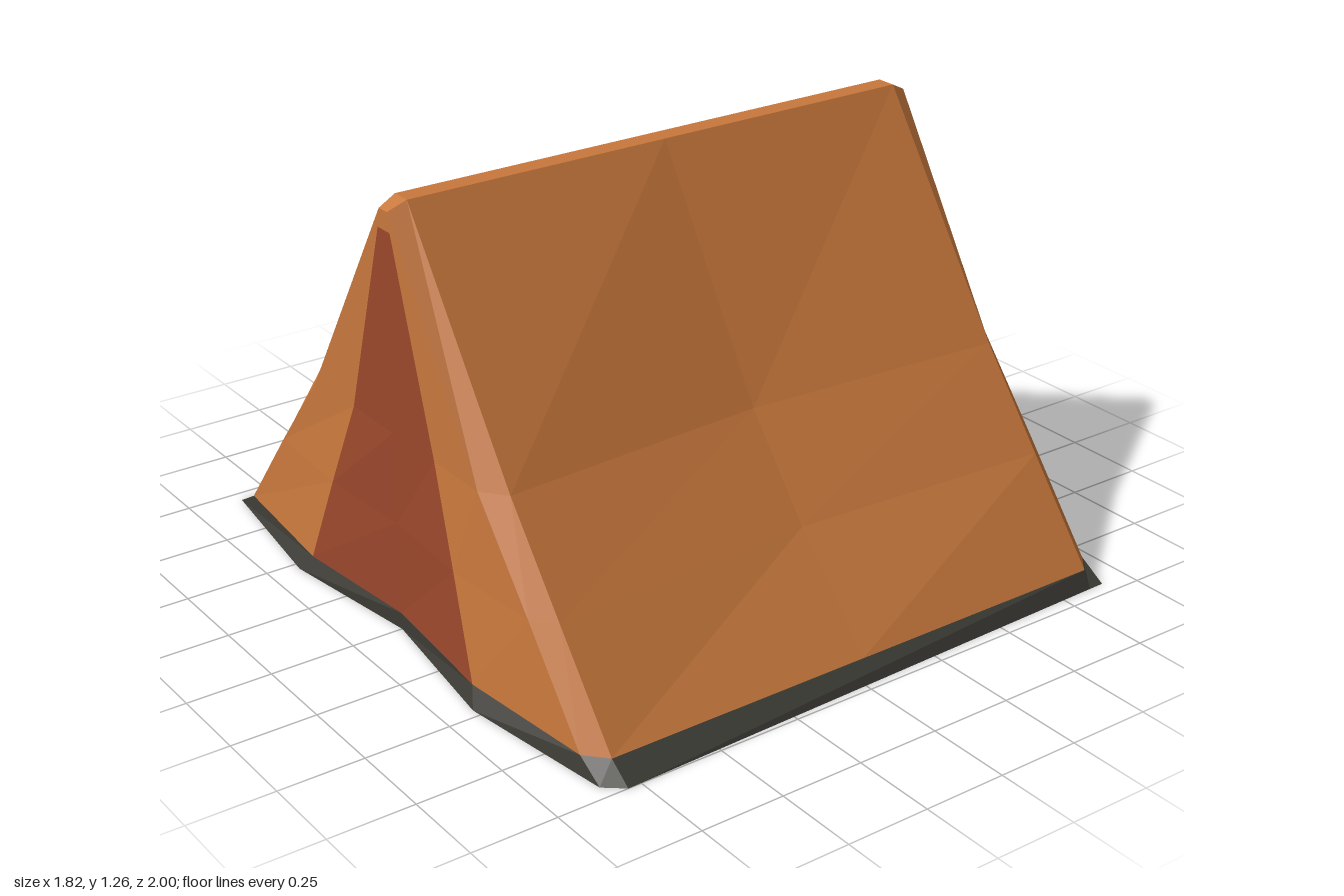
import * as THREE from 'three';

const ORANGE = 0xc8783c, RED = 0x9c482c, DARK = 0x3c3b35;

// Loft a sheet through rows of points (bottom row first, left to right seen from outside)
function sheet(name, color, rows) {
  const pos = [];
  for (let r = 0; r < rows.length - 1; r++) {
    for (let c = 0; c < rows[r].length - 1; c++) {
      const [p, q, s, t] = [rows[r][c], rows[r][c + 1], rows[r + 1][c + 1], rows[r + 1][c]];
      pos.push(...p, ...q, ...s, ...p, ...s, ...t);
    }
  }
  const geo = new THREE.BufferGeometry();
  geo.setAttribute('position', new THREE.Float32BufferAttribute(pos, 3));
  geo.computeVertexNormals();
  const mesh = new THREE.Mesh(geo, new THREE.MeshStandardMaterial({ color, flatShading: true }));
  mesh.name = name;
  return mesh;
}

// Cross-section levels: height, half width of roof, sagging middle, end wall, door
const LEVELS = [
  { y: 0.05, roof: 0.93, mid: 0.93, end: 0.87, door: 0.43, bulge: 0.04 },
  { y: 0.33, roof: 0.705, mid: 0.66, end: 0.645, door: 0.32, bulge: 0.02 },
  { y: 0.6, roof: 0.49, mid: 0.44, end: 0.42, door: 0.21, bulge: 0 },
  { y: 1.26, roof: 0.03, mid: 0.03, end: 0.02, endY: 1.235 },
];
const DOOR_TOP = { y: 1.18, end: 0.055, door: 0.03, bulge: 0 };
const LEFT_X = -0.845, RIGHT_X = 0.905;

// One roof row including the narrow bevels at both ends
const roofRow = (l, s) => [
  [LEFT_X, l.endY ?? l.y, s * l.end],
  [-0.79, l.y, s * l.roof],
  [0.03, l.y, s * l.mid],
  [0.855, l.y, s * l.roof],
  [RIGHT_X, l.endY ?? l.y, s * l.end],
];

// End wall with two side panels, a door and a small gable cap
function endWall(name, side) {
  const group = new THREE.Group();
  group.name = name;
  const x = side > 0 ? RIGHT_X : LEFT_X;
  const levels = [...LEVELS.slice(0, 3), DOOR_TOP];
  const edge = (l, s) => [side > 0 ? x : x - l.bulge, l.y, s * l.door];
  const outer = (l, s) => [x, l.y, s * l.end];
  const a = side, b = -side; // signs of z at the left and right of the wall
  group.add(
    sheet('wallPanel', ORANGE, levels.map(l => [outer(l, a), edge(l, a)])),
    sheet('wallPanel', ORANGE, levels.map(l => [edge(l, b), outer(l, b)])),
    sheet('door', RED, levels.map(l => [edge(l, a), [x, l.y, 0], edge(l, b)])),
    sheet('gableCap', ORANGE, [
      [0.055 * a, 0.03 * a, 0.03 * b, 0.055 * b].map(z => [x, 1.18, z]),
      [0.02 * a, 0.01 * a, 0.01 * b, 0.02 * b].map(z => [x, 1.235, z]),
    ]),
  );
  return group;
}

// Ground sheet outline: bottom x, z and top x, z
const BASE = [
  [-0.845, 0.955, -0.845, 0.87], [-0.79, 1, -0.79, 0.93],
  [0.855, 0.956, 0.855, 0.93], [0.905, 0.955, 0.905, 0.87],
  [0.905, -0.955, 0.905, -0.87], [0.855, -1, 0.855, -0.93],
  [-0.79, -0.956, -0.79, -0.93], [-0.845, -0.955, -0.845, -0.87],
  [-0.91, -0.47, -0.885, -0.43], [-0.845, 0, -0.845, 0],
  [-0.91, 0.47, -0.885, 0.43],
];

export function createModel() {
  const tent = new THREE.Group();
  tent.name = 'tent';

  // Roof slopes and the flat strip along the ridge
  const top = LEVELS[3];
  tent.add(
    sheet('frontRoof', ORANGE, LEVELS.map(l => roofRow(l, 1))),
    sheet('backRoof', ORANGE, LEVELS.map(l => roofRow(l, -1).reverse())),
    sheet('ridge', ORANGE, [roofRow(top, 1), roofRow(top, -1)]),
    endWall('leftEnd', 1),
    endWall('rightEnd', -1),
  );

  // Dark ground sheet: underside fan plus sloping skirt
  const loop = [...BASE, BASE[0]];
  tent.add(sheet('groundSheet', DARK, [
    loop.map(() => [0, 0, 0]),
    loop.map(p => [p[0], 0, p[1]]),
    loop.map(p => [p[2], 0.05, p[3]]),
  ]));
  return tent;
}
